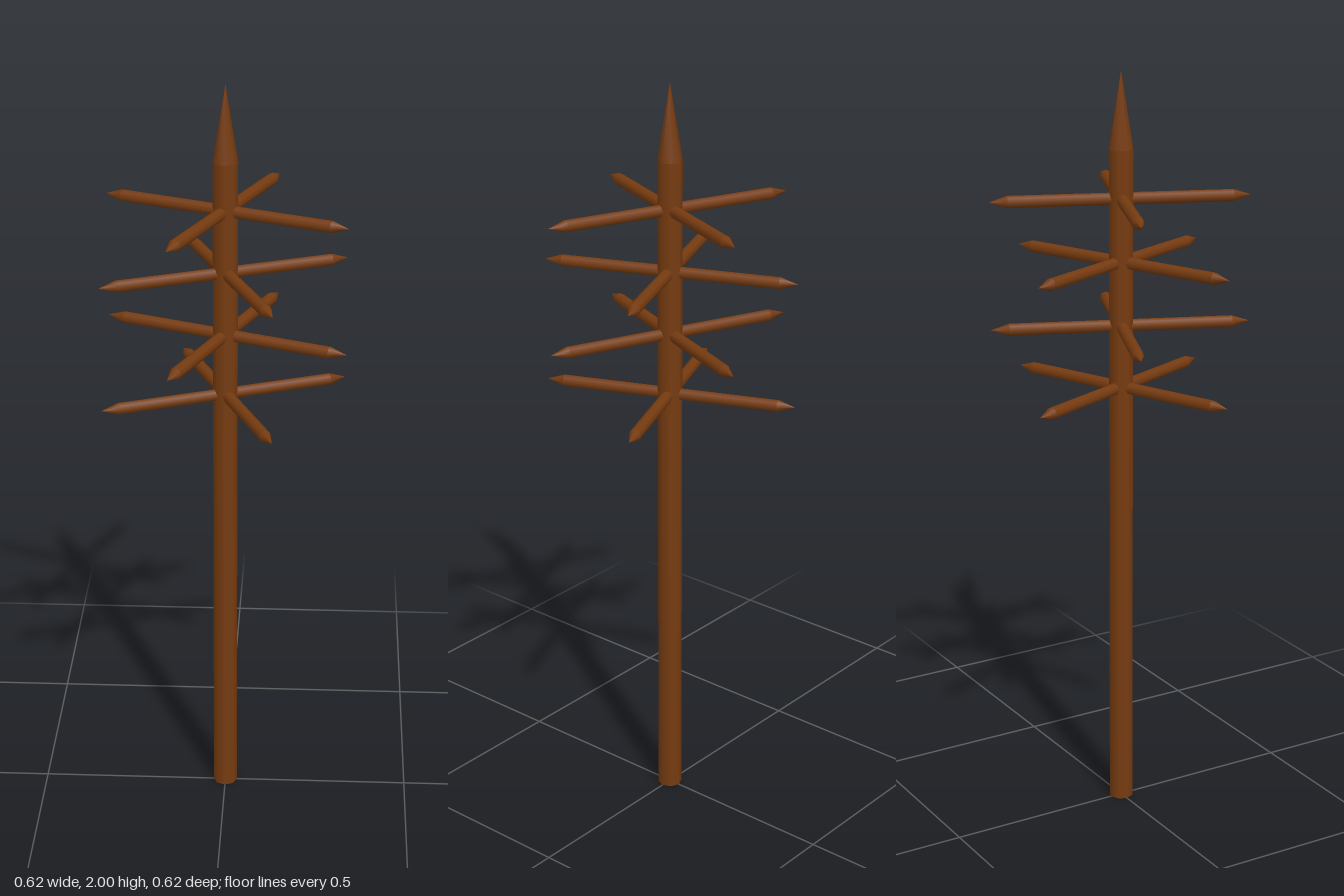
import * as THREE from 'three';

const wood = new THREE.MeshStandardMaterial({ color: 0x763b10 });
wood.name = 'darkWood';

// A round stake from the origin along +y: straight shaft, then a sharpened point
function stake(name, radius, shaftLength, pointLength, sides) {
  const group = new THREE.Group();
  group.name = name;
  const shaft = new THREE.Mesh(new THREE.CylinderGeometry(radius, radius, shaftLength, sides), wood);
  shaft.name = name + 'Shaft';
  shaft.position.y = shaftLength / 2;
  const point = new THREE.Mesh(new THREE.ConeGeometry(radius, pointLength, sides, 1, true), wood);
  point.name = name + 'Point';
  point.position.y = shaftLength + pointLength / 2;
  group.add(shaft, point);
  return group;
}

export function createModel() {
  const model = new THREE.Group();
  model.name = 'spikedPole';

  // Upright pole
  model.add(stake('pole', 0.032, 1.8, 0.2, 8));

  // Four tiers of four spikes, each tier turned 45 degrees from the last
  const tiers = [1.175, 1.34, 1.508, 1.673];
  tiers.forEach((y, tier) => {
    const start = (tier % 2 ? -1 : 1) * Math.PI / 8;
    for (let i = 0; i < 4; i++) {
      const spike = stake('spike', 0.016, 0.29, 0.047, 8);
      spike.rotation.set(0, start + i * Math.PI / 2, -Math.PI / 2);
      spike.position.y = y;
      model.add(spike);
    }
  });
  return model;
}
